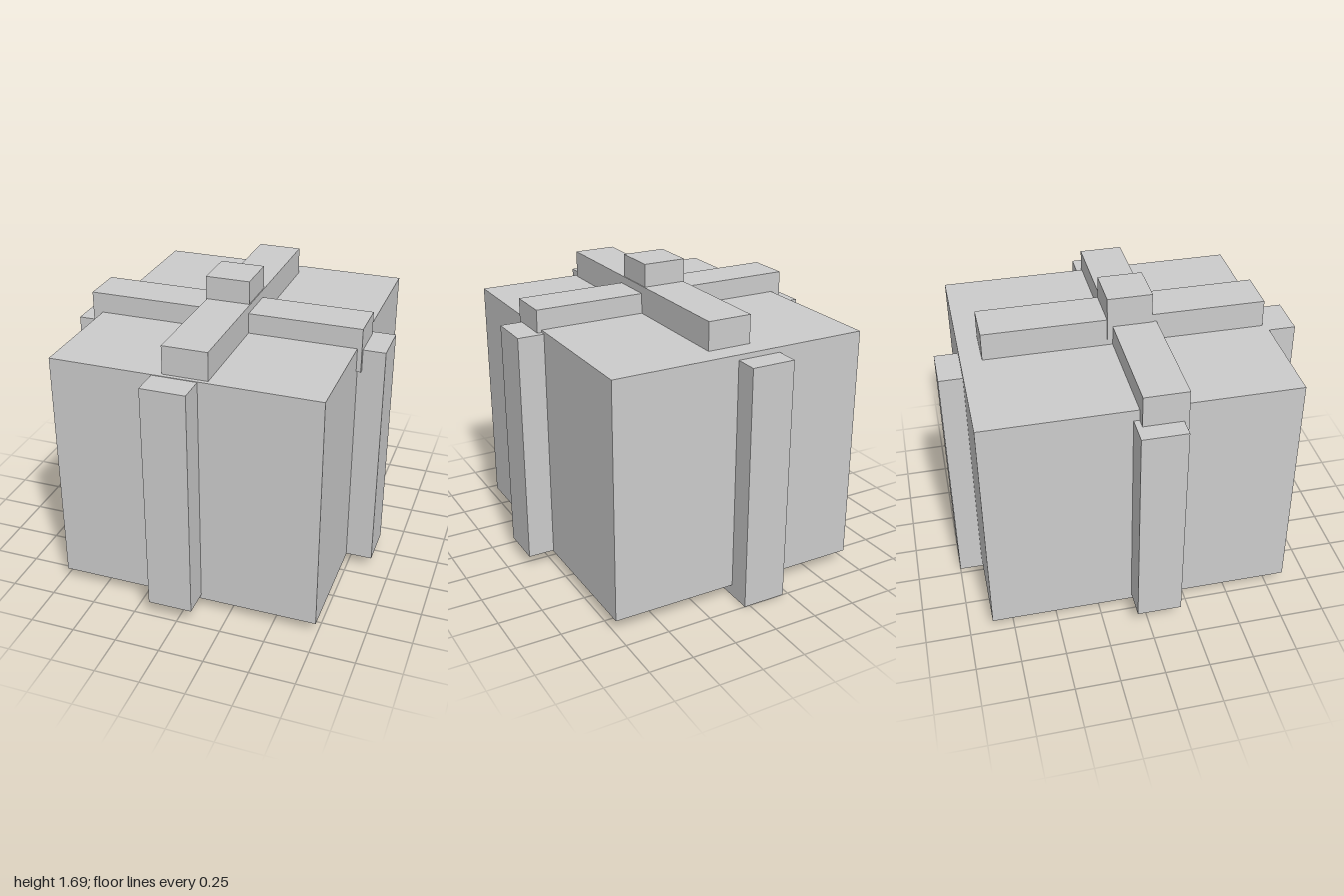
import * as THREE from 'three';

const material = new THREE.MeshStandardMaterial({ color: 0xcccccc, flatShading: true });

// Box given by its extents along each axis
function block(name, [x0, x1], [y0, y1], [z0, z1]) {
  const mesh = new THREE.Mesh(new THREE.BoxGeometry(x1 - x0, y1 - y0, z1 - z0), material);
  mesh.position.set((x0 + x1) / 2, (y0 + y1) / 2, (z0 + z1) / 2);
  mesh.name = name;
  return mesh;
}

export function createModel() {
  const group = new THREE.Group();
  group.name = 'giftBox';
  group.add(
    block('box', [-0.733, 0.741], [0.065, 1.404], [-0.869, 0.846]),

    // Upright ribbons, one on each side
    block('frontRibbon', [-0.16, 0.087], [0.09, 1.401], [0.75, 1]),
    block('backRibbon', [-0.217, 0.03], [0, 1.375], [-1, -0.75]),
    block('leftRibbon', [0.643, 0.89], [0.071, 1.39], [-0.067, 0.183]),
    block('rightRibbon', [-0.895, -0.648], [0.1, 1.34], [-0.069, 0.181]),

    // Crossing ribbons over the top
    block('topRibbonAcross', [-0.79, 0.766], [1.27, 1.518], [-0.037, 0.208]),
    block('topRibbonLengthwise', [-0.111, 0.137], [1.31, 1.561], [-0.752, 0.823]),

    // Knot where the ribbons cross
    block('knot', [-0.116, 0.132], [1.44, 1.69], [-0.067, 0.183]),
  );
  return group;
}
